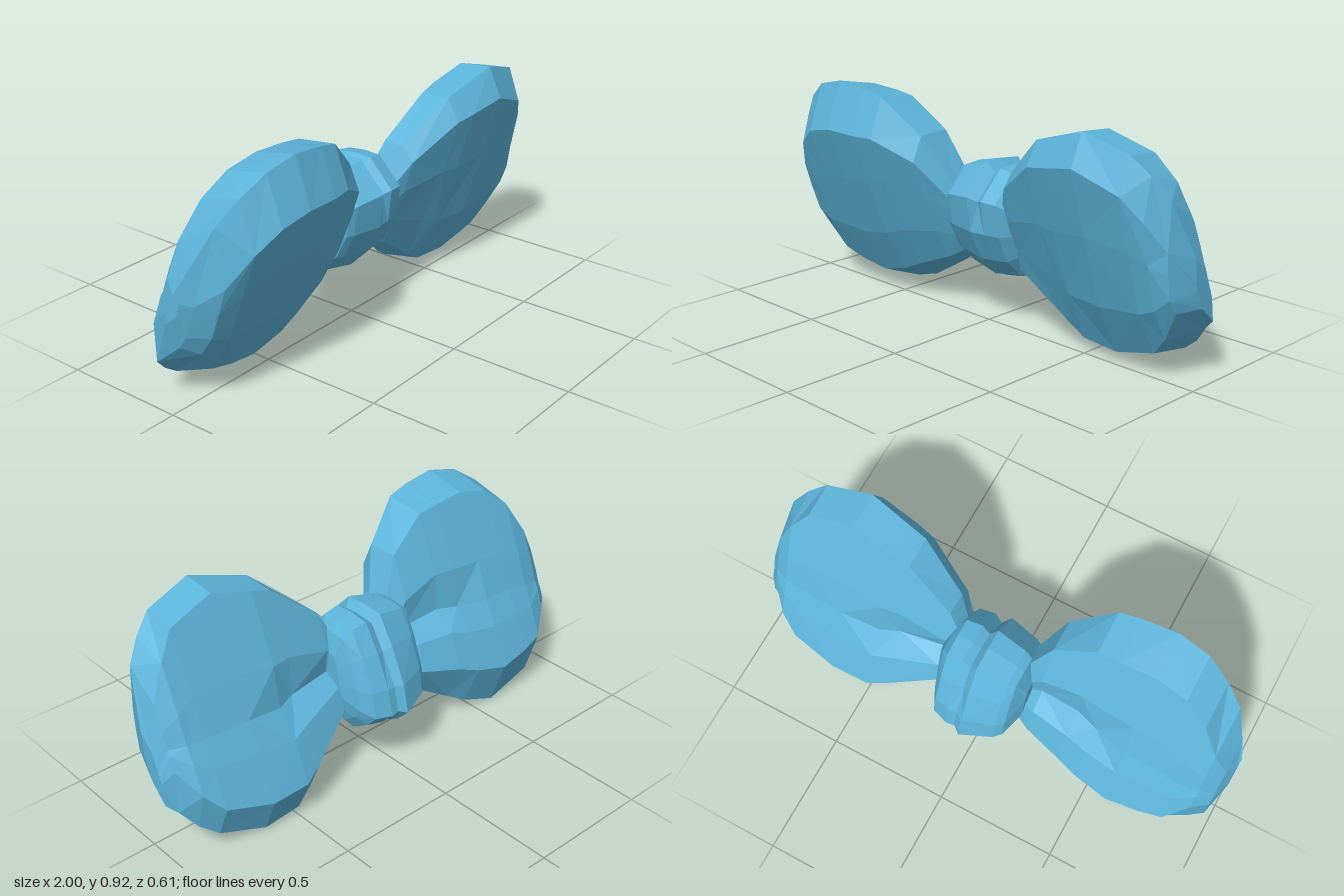
import * as THREE from 'three';

const blue = new THREE.MeshStandardMaterial({ color: 0x5cb4da });
blue.name = 'bow blue';

// Faceted skin through equal-length rings of [x, y, z], ordered by rising x, ends capped
function loft(rings) {
  const pos = [];
  const tri = (a, b, c) => pos.push(...a, ...b, ...c);
  const n = rings[0].length;
  const centre = r => [0, 1, 2].map(k => r.reduce((s, p) => s + p[k], 0) / n);
  const first = rings[0], last = rings[rings.length - 1];
  const c0 = centre(first), c1 = centre(last);
  for (let j = 0; j < n; j++) {
    const k = (j + 1) % n;
    for (let i = 0; i < rings.length - 1; i++) {
      const a = rings[i][j], b = rings[i][k], c = rings[i + 1][k], d = rings[i + 1][j];
      if ((i + j) % 2) { tri(a, b, d); tri(b, c, d); }
      else { tri(a, b, c); tri(a, c, d); }
    }
    tri(first[k], first[j], c0);
    tri(last[j], last[k], c1);
  }
  const g = new THREE.BufferGeometry();
  g.setAttribute('position', new THREE.Float32BufferAttribute(pos, 3));
  g.computeVertexNormals();
  return g;
}

// The bow leans forward: v runs up the leaning plane, w out of its front
const COS = Math.cos(0.42), SIN = Math.sin(0.42);
const lean = (x, v, w) => [x, 0.46 + v * COS - w * SIN, 0.02 + v * SIN + w * COS];

// Station: [x, top y, bottom y, front depth, back depth, back crease, ridge height]
// rim: depth of the outer edge; upper: share of the front depth kept near the top; fold: front crease
function loop(name, stations, { rim, upper, fold }) {
  const rings = stations.map(([x, top, bottom, f, b, crease, ridge]) => {
    const t = (top - 0.46 + rim * SIN) / COS, u = (bottom - 0.46 + rim * SIN) / COS;
    const m = (t + u) / 2, h = (t - u) / 2;
    const low = Math.min(0.78, ridge), high = Math.min(0.86, ridge + 0.08);
    return [
      [1, rim], [ridge, f * upper], [ridge * 0.35, f * (upper + 1.15) / 2],
      [-low * 0.4, f * 1.12 - crease * fold], [-low, f],
      [-1, rim], [-low, -b], [-low * 0.5, -b * 1.05], [-0.12, -b + crease],
      [low * 0.3, -b * 1.08], [high, -b * 1.1],
    ].map(([s, w]) => lean(x, m + h * s, w));
  });
  const mesh = new THREE.Mesh(loft(rings), blue);
  mesh.name = name;
  return mesh;
}

const leftStations = [
  [0.12, 0.50, 0.27, 0.05, 0.07, 0.01, 0.85],
  [0.21, 0.67, 0.225, 0.075, 0.095, 0.045, 0.85],
  [0.40, 0.835, 0.07, 0.11, 0.12, 0.045, 0.85],
  [0.48, 0.86, 0.02, 0.125, 0.13, 0.03, 0.85],
  [0.64, 0.91, 0.01, 0.135, 0.13, 0.0, 0.82],
  [0.83, 0.855, 0.07, 0.135, 0.125, 0, 0.76],
  [0.90, 0.79, 0.125, 0.13, 0.12, 0, 0.65],
  [0.96, 0.71, 0.20, 0.105, 0.09, 0, 0.42],
  [1.0, 0.50, 0.24, 0.015, 0.045, 0, 0.4],
];

const rightStations = [
  [-1.0, 0.52, 0.36, 0.04, 0.0, 0, 0.4],
  [-0.97, 0.60, 0.17, 0.08, 0.055, 0, 0.42],
  [-0.91, 0.735, 0.11, 0.135, 0.10, 0, 0.45],
  [-0.83, 0.82, 0.05, 0.15, 0.12, 0, 0.65],
  [-0.73, 0.89, 0.03, 0.155, 0.125, 0, 0.70],
  [-0.60, 0.92, 0.005, 0.155, 0.125, 0, 0.71],
  [-0.46, 0.905, 0.05, 0.15, 0.125, 0.03, 0.71],
  [-0.37, 0.885, 0.10, 0.135, 0.12, 0.045, 0.72],
  [-0.21, 0.745, 0.19, 0.095, 0.10, 0.045, 0.76],
  [-0.12, 0.55, 0.26, 0.06, 0.07, 0.01, 0.8],
];

// Knot: one side profile of [z, y], scaled along x, with a fold in its upper half
function knot() {
  const profile = [
    [-0.05, 0.66], [0.03, 0.655], [0.14, 0.54], [0.12, 0.40], [0.06, 0.28], [-0.02, 0.20],
    [-0.15, 0.18], [-0.245, 0.235], [-0.3, 0.29], [-0.275, 0.4], [-0.21, 0.54], [-0.14, 0.65],
  ];
  // [x, scale, fold depth]
  const slices = [
    [-0.17, 0.45, 0], [-0.135, 0.82, 0], [-0.105, 0.89, 0], [0.02, 1.01, 0], [0.05, 0.98, 0.11],
    [0.085, 0.97, 0.01], [0.15, 0.92, 0], [0.18, 0.76, 0], [0.205, 0.45, 0],
  ];
  const cz = -0.08, cy = 0.41;
  const rings = slices.map(([x, s, fold]) => profile.map(([z, y]) => {
    const k = s - (y > 0.45 ? fold : z < -0.2 ? fold * 0.4 : 0);
    // the back rounds off faster than the front
    return [x, cy + (y - cy) * k, cz + (z - cz) * k * (z < cz ? s : 1)];
  }));
  const mesh = new THREE.Mesh(loft(rings), blue);
  mesh.name = 'knot';
  return mesh;
}

export function createModel() {
  const bow = new THREE.Group();
  bow.name = 'bow';
  bow.add(
    loop('leftLoop', leftStations, { rim: -0.02, upper: 0.6, fold: 0.35 }),
    loop('rightLoop', rightStations, { rim: 0.012, upper: 0.97, fold: 0 }),
    knot(),
  );
  return bow;
}
